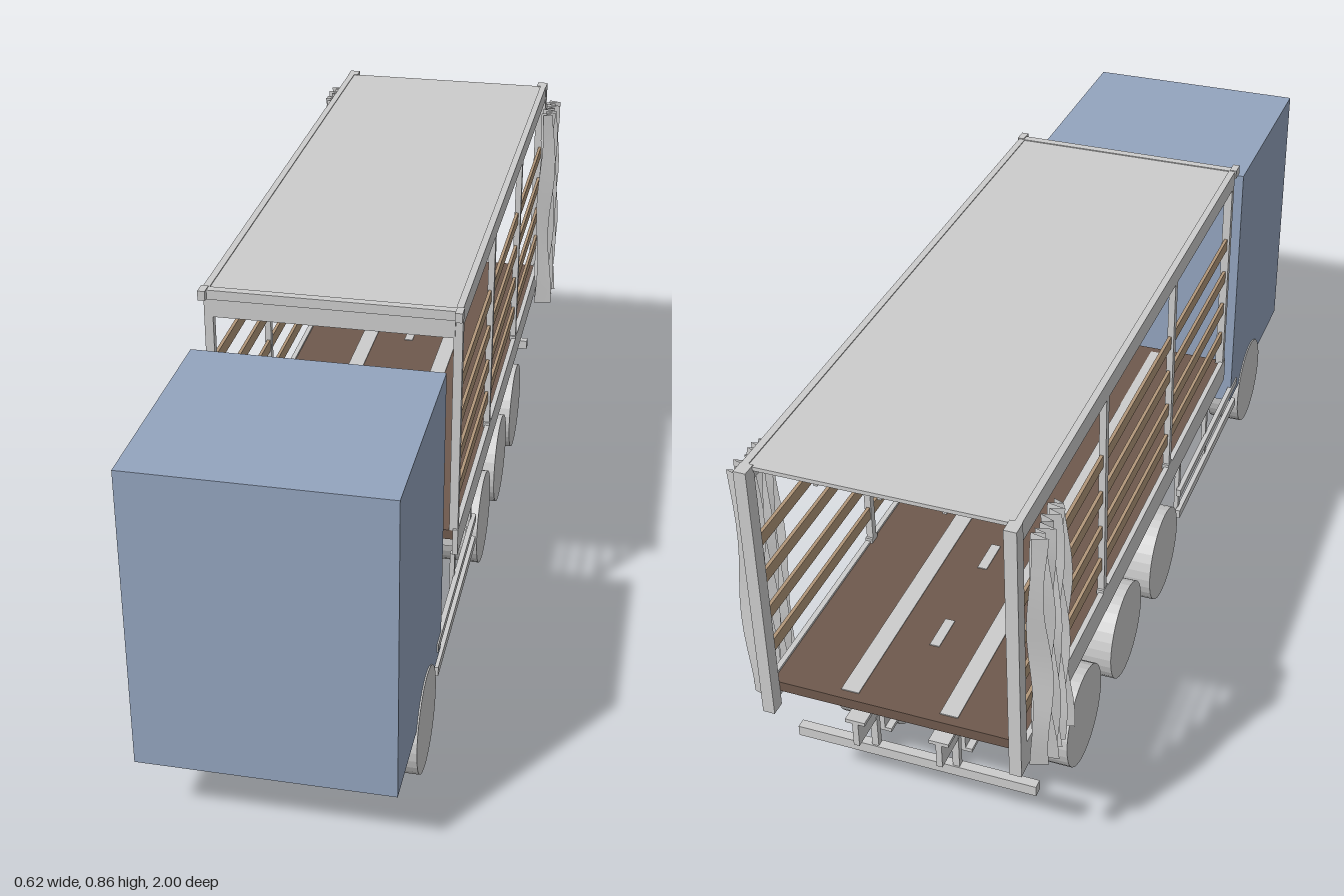
import * as THREE from 'three';
import { toCreasedNormals } from 'three/addons/utils/BufferGeometryUtils.js';

const mat = (name, color, side = THREE.FrontSide) =>
  Object.assign(new THREE.MeshStandardMaterial({ color, side }), { name });

export function createModel() {
  const root = new THREE.Group();
  root.name = 'curtainTruck';
  const blue = mat('cabBlue', 0x93a4be);
  const grey = mat('lightGrey', 0xcccccc, THREE.DoubleSide);
  const tan = mat('slatWood', 0xb2977a);
  const brown = mat('floorWood', 0x6e594d);

  const add = (name, geo, material) => {
    const m = new THREE.Mesh(geo, material);
    m.name = name;
    root.add(m);
    return m;
  };
  // Box given by its lower and upper limits on each axis
  const box = (name, material, x0, x1, y0, y1, z0, z1) => {
    const m = add(name, new THREE.BoxGeometry(Math.abs(x1 - x0), y1 - y0, z1 - z0), material);
    m.position.set((x0 + x1) / 2, (y0 + y1) / 2, (z0 + z1) / 2);
    return m;
  };

  // Cab
  box('cab', blue, -0.25, 0.25, 0.155, 0.785, 0.53, 1.0);

  // Loading floor with flush metal strips
  box('floor', brown, -0.25, 0.25, 0.333, 0.355, -0.97, 0.4);
  for (const x of [-0.1, 0.1]) box('floorStrip', grey, x - 0.018, x + 0.018, 0.355, 0.357, -0.95, 0.38);
  for (let i = 0; i < 5; i++) {
    const z = -0.78 + i * 0.25;
    box('floorSlot', grey, -0.01, 0.01, 0.355, 0.357, z, z + 0.08);
  }

  // Cross members below the floor
  for (let i = 0; i < 14; i++) {
    const z = -0.93 + i * 0.1;
    box('crossMember', grey, -0.25, 0.25, 0.302, 0.333, z - 0.007, z + 0.007);
  }

  // Roof sheet, ribs and front header
  box('roof', grey, -0.255, 0.255, 0.85, 0.858, -0.975, 0.4);
  for (let i = 0; i < 11; i++) {
    const z = -0.9 + i * 0.12;
    box('roofRib', grey, -0.25, 0.25, 0.838, 0.85, z - 0.006, z + 0.006);
  }
  for (const x of [-0.12, 0, 0.12]) box('roofStringer', grey, x - 0.004, x + 0.004, 0.842, 0.85, -0.97, 0.4);
  box('frontHeader', grey, -0.245, 0.245, 0.795, 0.842, 0.388, 0.402);
  box('frontHeaderCap', grey, -0.26, 0.26, 0.84, 0.86, 0.4, 0.418);

  // Chassis beam outline: stepped at both ends
  const beam = new THREE.Shape([
    [-0.97, 0.302], [-0.97, 0.24], [-0.86, 0.24], [-0.86, 0.18], [0.41, 0.18],
    [0.41, 0.192], [0.56, 0.192], [0.56, 0.24], [0.41, 0.24], [0.41, 0.302],
  ].map(([z, y]) => new THREE.Vector2(-z, y)));
  const beamGeo = new THREE.ExtrudeGeometry(beam, { depth: 0.012, bevelEnabled: false });
  beamGeo.translate(0, 0, -0.006).rotateY(Math.PI / 2);

  const wheel = (name, s, z, inner, outer) => {
    const m = add(name, toCreasedNormals(
      new THREE.CylinderGeometry(0.108, 0.108, outer - inner, 32).rotateZ(Math.PI / 2), 0.1), grey);
    m.position.set(s * (inner + outer) / 2, 0.109, z);
  };

  // Pleated curtain, gathered at the rear
  const curtain = (s) => {
    const folds = 14, rows = 14;
    const g = new THREE.PlaneGeometry(1, 1, folds, rows);
    const p = g.attributes.position;
    for (let i = 0; i < p.count; i++) {
      const k = i % (folds + 1), t = p.getY(i) + 0.5;
      const out = k % 2;
      const sway = 0.007 * Math.sin(t * 9 + k * 1.3);
      const x = out ? 0.297 + 0.008 * (1 - t) + sway : 0.268 + sway * 0.7;
      const z = -0.842 - 0.126 * k / folds + 0.003 * Math.sin(t * 11 + k * 0.7);
      p.setXYZ(i, s * x, 0.305 + 0.52 * t, z);
    }
    add('curtain', toCreasedNormals(g, 0.5), grey);
  };

  // Everything mirrored left and right
  for (const s of [-1, 1]) {
    const side = (name, m, a, b, ...rest) => box(name, m, s * a, s * b, ...rest);
    side('roofRail', grey, 0.246, 0.26, 0.82, 0.86, -0.98, 0.4);
    side('headerCorner', grey, 0.248, 0.263, 0.842, 0.862, 0.4, 0.43);
    side('sideRave', grey, 0.25, 0.261, 0.3, 0.36, -0.97, 0.405);
    side('rearPost', grey, 0.237, 0.261, 0.3, 0.86, -1.0, -0.97);
    side('frontPost', grey, 0.242, 0.26, 0.355, 0.82, 0.384, 0.4);
    for (const z of [-0.06, -0.515]) {
      side('sidePost', grey, 0.246, 0.26, 0.355, 0.822, z - 0.008, z + 0.008);
      side('postFoot', grey, 0.246, 0.261, 0.355, 0.366, z - 0.013, z + 0.013);
    }
    for (const y of [0.43, 0.51, 0.595, 0.68])
      side('sideSlat', tan, 0.248, 0.255, y - 0.014, y + 0.014, -0.97, 0.386);

    // Chassis beam with flanges
    add('chassisBeam', beamGeo, grey).position.x = s * 0.085;
    side('lowerFlange', grey, 0.065, 0.105, 0.18, 0.188, -0.86, 0.41);
    side('upperFlange', grey, 0.065, 0.105, 0.294, 0.302, -0.97, 0.41);
    side('couplingFlange', grey, 0.073, 0.097, 0.232, 0.24, 0.41, 0.56);

    // Side guard
    side('guardRail', grey, 0.242, 0.253, 0.115, 0.136, 0.07, 0.575);
    side('guardRail', grey, 0.242, 0.253, 0.177, 0.195, 0.07, 0.58);
    for (const z of [0.32, 0.09]) side('guardPost', grey, 0.234, 0.244, 0.118, 0.25, z - 0.007, z + 0.007);

    side('bumperPost', grey, 0.078, 0.092, 0.165, 0.245, -0.894, -0.88);

    wheel('frontWheel', s, 0.71, 0.175, 0.253);
    for (const z of [-0.06, -0.34, -0.62]) wheel('rearWheel', s, z, 0.125, 0.253);
    curtain(s);
  }

  // Rear bumper bar
  box('rearBumper', grey, -0.25, 0.25, 0.147, 0.17, -0.897, -0.877);
  return root;
}
